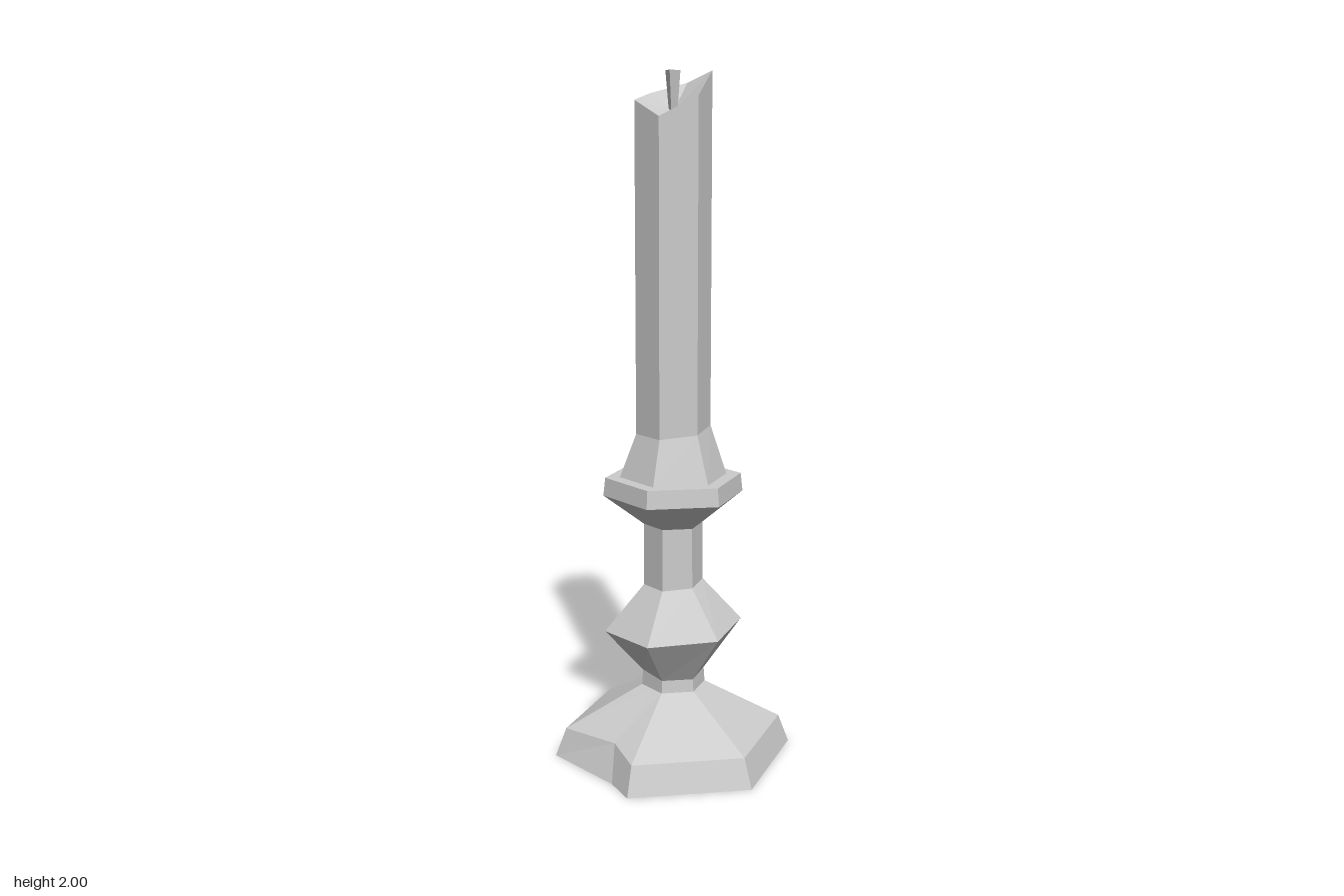
import * as THREE from 'three';

const SIDES = 6;

// Hexagonal ring with corners on +-x; y may be one height or one per corner
// (order: left, front left, front right, right, back right, back left).
function ring(r, y) {
  return Array.from({ length: SIDES }, (_, i) => {
    const a = (i / SIDES) * Math.PI * 2;
    return [r * Math.cos(a), Array.isArray(y) ? y[i] : y, r * Math.sin(a)];
  });
}

// Adds one extra point to the front edge of a ring, for the dent in the foot
function withFrontPoint(points, p) {
  return [...points.slice(0, 2), p, ...points.slice(2)];
}

// Skins rings from bottom to top; optional centre points close the ends
function loft(rings, bottom, top) {
  const v = [];
  const n = rings[0].length;
  for (let k = 0; k < rings.length - 1; k++) {
    const a = rings[k], b = rings[k + 1];
    for (let i = 0; i < n; i++) {
      const j = (i + 1) % n;
      v.push(...a[i], ...b[i], ...a[j], ...a[j], ...b[i], ...b[j]);
    }
  }
  const first = rings[0], last = rings[rings.length - 1];
  for (let i = 0; i < n; i++) {
    const j = (i + 1) % n;
    if (bottom) v.push(...bottom, ...first[i], ...first[j]);
    if (top) v.push(...top, ...last[j], ...last[i]);
  }
  const g = new THREE.BufferGeometry();
  g.setAttribute('position', new THREE.Float32BufferAttribute(v, 3));
  g.computeVertexNormals();
  return g;
}

export function createModel() {
  const group = new THREE.Group();
  const material = new THREE.MeshStandardMaterial({
    color: 0xcccccc, flatShading: true, side: THREE.DoubleSide,
  });
  const add = (name, geometry) => {
    const mesh = new THREE.Mesh(geometry, material);
    mesh.name = name;
    group.add(mesh);
  };

  // Slightly uneven heights shared by neighbouring parts
  const neckLow = ring(0.095, 0.212);
  const knobLow = ring(0.092, [0.25, 0.25, 0.258, 0.26, 0.26, 0.255]);
  const knobHigh = ring(0.088, [0.53, 0.525, 0.525, 0.535, 0.54, 0.535]);
  const panLow = ring(0.087, 0.71);

  // Foot, dented along its front edge
  add('foot', loft([
    withFrontPoint(ring(0.357, 0), [0.08, 0, 0.29]),
    withFrontPoint(ring(0.325, 0.085), [0.04, 0.1, 0.25]),
    withFrontPoint(neckLow, [0.01, 0.212, 0.082]),
  ], [0, 0, 0]));

  // Stem and its bulging knob
  add('lowerNeck', loft([neckLow, knobLow]));
  add('knob', loft([
    knobLow,
    ring(0.205, [0.4, 0.392, 0.385, 0.41, 0.41, 0.405]),
    knobHigh,
  ]));
  add('upperNeck', loft([knobHigh, panLow]));

  // Drip pan with a flat top
  add('dripPan', loft(
    [panLow, ring(0.206, 0.8), ring(0.2, 0.853)], null, [0, 0.853, 0]));

  // Candle: flared foot, straight shaft, burnt-down uneven rim
  add('candle', loft([
    ring(0.157, 0.853),
    ring(0.109, [0.99, 0.98, 0.98, 0.99, 1.0, 1.0]),
    ring(0.109, [1.93, 1.875, 1.92, 1.94, 1.97, 2.0]),
  ], null, [0, 1.89, 0]));

  // Three-sided wick, wider at the tip
  const tip = [[0.017, 2, 0.027], [-0.027, 2, 0.007], [0.006, 2, -0.02]];
  const root = tip.map(([x, , z]) => [x * 0.5, 1.87, z * 0.5]);
  add('wick', loft([root, tip], null, [0, 2, 0.005]));

  return group;
}
